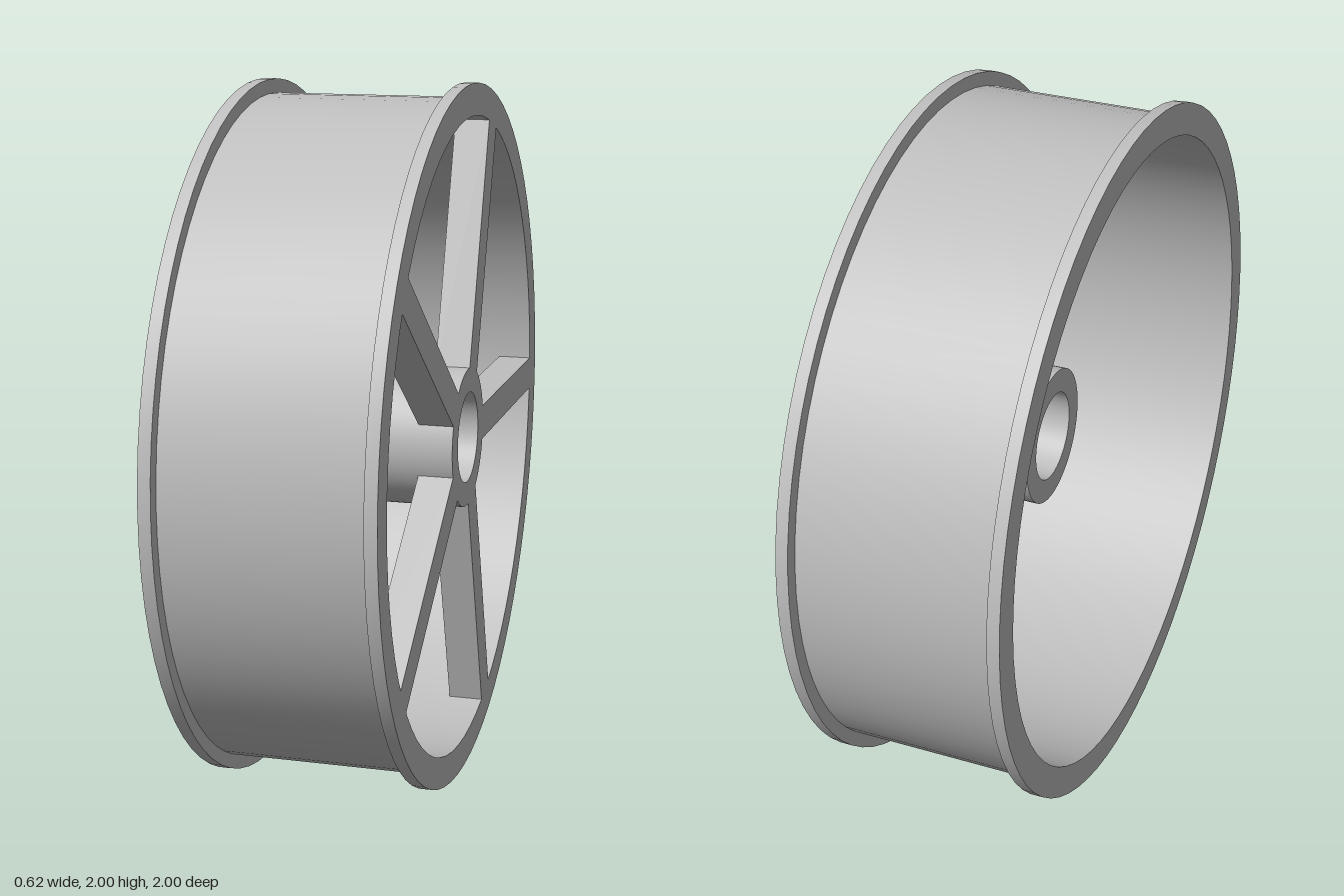
import * as THREE from 'three';
import { toCreasedNormals } from 'three/addons/utils/BufferGeometryUtils.js';

const HALF = 0.31;      // half width of the wheel
const FLANGE = 0.275;   // inner face of each flange
const SEGMENTS = 72;

const steel = new THREE.MeshStandardMaterial({ color: 0xbfbfbf });
steel.name = 'grey metal';

// Ring turned around the x axis from a closed [radius, x] profile
function turned(name, profile) {
  const points = [...profile, profile[0]].map(([r, x]) => new THREE.Vector2(r, x));
  const geometry = new THREE.LatheGeometry(points, SEGMENTS);
  geometry.rotateZ(-Math.PI / 2);
  const mesh = new THREE.Mesh(toCreasedNormals(geometry, 0.6), steel);
  mesh.name = name;
  return mesh;
}

export function createModel() {
  const wheel = new THREE.Group();
  wheel.name = 'wheel';

  // Rim drum with a raised flange at each edge
  wheel.add(turned('rim', [
    [0.91, -HALF], [1, -HALF], [1, -FLANGE], [0.96, -FLANGE],
    [0.96, FLANGE], [1, FLANGE], [1, HALF], [0.91, HALF],
  ]));

  // Hollow hub, flush with the spoked side and shorter than the rim
  wheel.add(turned('hub', [
    [0.13, -0.06], [0.2, -0.06], [0.2, HALF], [0.13, HALF],
  ]));

  // Five flat spokes, flush with the +x face
  const inner = 0.19, outer = 0.915, depth = 0.1;
  const spokeGeometry = new THREE.BoxGeometry(depth, 0.1, outer - inner);
  spokeGeometry.translate(HALF - depth / 2, 0, -(inner + outer) / 2);
  for (let i = 0; i < 5; i++) {
    const spoke = new THREE.Mesh(spokeGeometry, steel);
    spoke.name = `spoke${i + 1}`;
    spoke.rotation.x = (i * Math.PI * 2) / 5;
    wheel.add(spoke);
  }

  wheel.position.y = 1;
  const model = new THREE.Group();
  model.add(wheel);
  return model;
}
